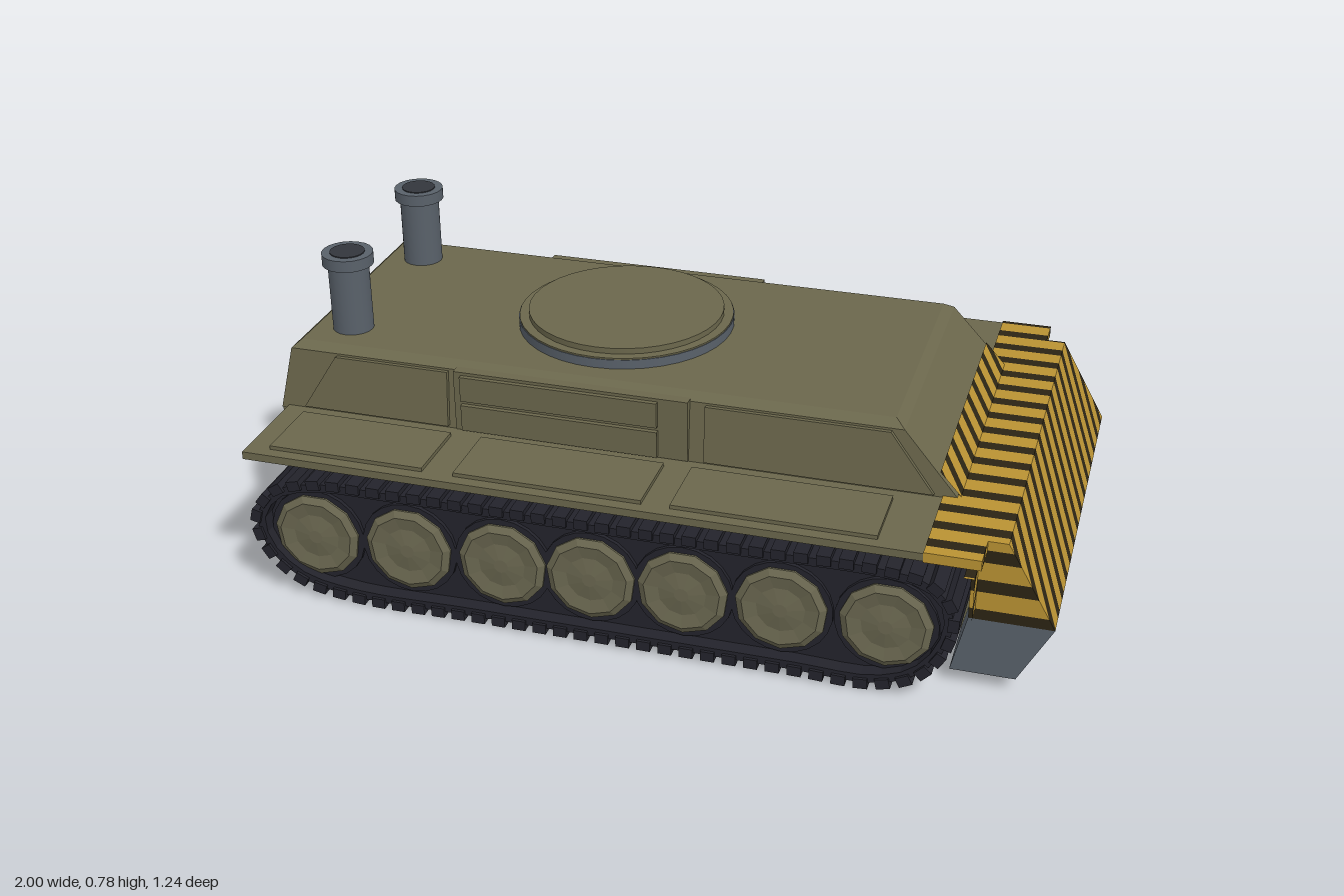
import * as THREE from 'three';
import { mergeGeometries } from 'three/addons/utils/BufferGeometryUtils.js';
import { ConvexGeometry } from 'three/addons/geometries/ConvexGeometry.js';

const V = (x, y, z) => new THREE.Vector3(x, y, z);
const V2 = (x, y) => new THREE.Vector2(x, y);

function material(name, color, side = THREE.FrontSide) {
  const m = new THREE.MeshStandardMaterial({ color, side });
  m.name = name;
  return m;
}

// Side profile (x, y) extruded to a given width, centred on z
function extrude(points, width, hole) {
  const shape = new THREE.Shape(points);
  if (hole) shape.holes.push(new THREE.Path(hole));
  const g = new THREE.ExtrudeGeometry(shape, { depth: width, bevelEnabled: false });
  return g.translate(0, 0, -width / 2);
}

// Keep the part of a convex polygon where f >= 0
function clip(poly, f) {
  const out = [];
  poly.forEach((a, i) => {
    const b = poly[(i + 1) % poly.length], fa = f(a), fb = f(b);
    if (fa >= 0) out.push(a);
    if ((fa >= 0) !== (fb >= 0)) out.push(a.clone().lerp(b, fa / (fa - fb)));
  });
  return out;
}

// Cut flat faces into diagonal bands; returns [yellow, dark] geometries
function hazardBands(polys) {
  const pitch = 0.08, dark = 0.033, pos = [[], []];
  for (const poly of polys) {
    for (let k = -10; k < 18; k++) {
      const a = k * pitch, b = a + dark, c = a + pitch;
      [[b, c], [a, b]].forEach(([lo, hi], n) => {
        const p = clip(clip(poly, v => v.y + v.z - lo), v => hi - v.y - v.z);
        for (let i = 1; i + 1 < p.length; i++) {
          for (const v of [p[0], p[i], p[i + 1]]) pos[n].push(v.x, v.y, v.z);
        }
      });
    }
  }
  return pos.map(array => {
    const g = new THREE.BufferGeometry();
    g.setAttribute('position', new THREE.Float32BufferAttribute(array, 3));
    g.computeVertexNormals();
    return g;
  });
}

export function createModel() {
  const model = new THREE.Group();
  model.name = 'trackedVehicle';
  const olive = material('olive paint', 0x6b674c);
  const wheelOlive = material('wheel olive', 0x6a6750);
  const steel = material('grey steel', 0x59616a);
  const rubber = material('track black', 0x23232b);
  const soot = material('soot', 0x33363c);
  const yellow = material('hazard yellow', 0xb99233, THREE.DoubleSide);
  const black = material('hazard dark', 0x2b2414, THREE.DoubleSide);

  const add = (name, geometry, mat, x = 0, y = 0, z = 0) => {
    const mesh = new THREE.Mesh(geometry, mat);
    mesh.name = name;
    mesh.position.set(x, y, z);
    model.add(mesh);
    return mesh;
  };
  const box = (name, mat, x0, x1, y0, y1, z0, z1) =>
    add(name, new THREE.BoxGeometry(x1 - x0, y1 - y0, Math.abs(z1 - z0)), mat,
      (x0 + x1) / 2, (y0 + y1) / 2, (z0 + z1) / 2);

  // Lower hull between the tracks
  box('lowerHull', olive, -1, 0.8, 0.04, 0.395, -0.36, 0.36);

  // Upper hull with sloped ends and bevelled roof edge
  const rings = [[0.39, -1, 0.745, 0.365], [0.555, -0.965, 0.6, 0.35], [0.572, -0.945, 0.575, 0.325]];
  const corners = [];
  for (const [y, x0, x1, z] of rings) {
    for (const s of [-1, 1]) corners.push(V(x0, y, s * z), V(x1, y, s * z));
  }
  add('upperHull', new ConvexGeometry(corners), olive);

  // Round roof hatch
  const cyl = (r, h, n = 40) => new THREE.CylinderGeometry(r, r, h, n);
  add('hatchRing', cyl(0.276, 0.026), steel, -0.19, 0.583, 0);
  add('hatchRim', cyl(0.274, 0.006), olive, -0.19, 0.597, 0);
  add('hatchLid', cyl(0.25, 0.03), olive, -0.19, 0.6, 0);

  // Track path around the wheels
  const path = new THREE.CatmullRomCurve3([
    [-0.8, 0.33], [-0.91, 0.295], [-0.965, 0.21], [-0.94, 0.12], [-0.86, 0.05], [-0.72, 0.02],
    [-0.4, 0.02], [0, 0.02], [0.4, 0.02], [0.6, 0.02], [0.7, 0.06], [0.765, 0.15],
    [0.775, 0.25], [0.72, 0.315], [0.62, 0.335], [0.3, 0.335], [-0.2, 0.335], [-0.6, 0.335],
  ].map(([x, y]) => V(x, y, 0)), true, 'centripetal');
  const count = 72;
  const outer = [], inner = [], treads = [];
  for (let i = 0; i < count; i++) {
    const p = path.getPointAt(i / count), t = path.getTangentAt(i / count);
    outer.push(V2(p.x, p.y));
    inner.push(V2(p.x - t.y * 0.022, p.y + t.x * 0.022));
    const link = new THREE.BoxGeometry(0.034, 0.026, 0.22);
    link.rotateZ(Math.atan2(t.y, t.x)).translate(p.x, p.y, 0);
    treads.push(link);
  }
  const bandGeo = extrude(outer, 0.205, inner);
  const treadGeo = mergeGeometries(treads);
  const coreGeo = extrude(inner, 0.13);

  // Dished road wheel, the same on both faces
  const half = [[0.018, 0.09], [0.06, 0.084], [0.095, 0.09], [0.112, 0.08]];
  const wheelProfile = [V2(0, -0.09), ...half.map(([r, h]) => V2(r, -h)),
    ...half.slice().reverse().map(([r, h]) => V2(r, h)), V2(0, 0.09)];
  const wheelGeo = new THREE.LatheGeometry(wheelProfile, 11).rotateX(Math.PI / 2).toNonIndexed();
  wheelGeo.computeVertexNormals();
  const tyreGeo = cyl(0.124, 0.15, 22).rotateX(Math.PI / 2);

  for (const s of [1, -1]) {
    const side = s > 0 ? 'left' : 'right';
    const zc = s * 0.51;
    add(side + 'TrackBand', bandGeo, rubber, 0, 0, zc);
    add(side + 'TrackLinks', treadGeo, rubber, 0, 0, zc);
    add(side + 'TrackCore', coreGeo, rubber, 0, 0, zc);
    for (const x of [-0.815, -0.57, -0.325, -0.1, 0.13, 0.37, 0.62]) {
      add(side + 'Tyre', tyreGeo, rubber, x, 0.17, zc);
      add(side + 'RoadWheel', wheelGeo, wheelOlive, x, 0.17, zc);
    }

    // Fender with its support and raised lids
    box(side + 'Fender', olive, -0.98, 0.83, 0.378, 0.398, s * 0.35, s * 0.62);
    box(side + 'FenderSupport', olive, -0.95, 0.78, 0.35, 0.38, s * 0.35, s * 0.575);
    for (const [x0, x1] of [[-0.92, -0.52], [-0.44, 0.03], [0.1, 0.59]]) {
      box(side + 'FenderLid', olive, x0, x1, 0.396, 0.408, s * 0.405, s * 0.59);
    }

    // Side lockers and sloped side panels
    for (const [y0, y1] of [[0.405, 0.474], [0.486, 0.552]]) {
      box(side + 'Locker', olive, -0.5, 0.005, y0, y1, s * 0.33, s * 0.382);
    }
    box(side + 'LockerFrame', olive, -0.52, 0.08, 0.4, 0.56, s * 0.33, s * 0.37);
    const panels = [
      [V2(-0.93, 0.405), V2(-0.54, 0.405), V2(-0.54, 0.55), V2(-0.84, 0.55)],
      [V2(0.12, 0.405), V2(0.68, 0.405), V2(0.57, 0.55), V2(0.12, 0.55)],
    ];
    for (const p of panels) {
      const g = extrude(p, 0.02).translate(0, -0.478, 0).rotateX(-s * 0.09);
      add(side + 'SidePanel', g, olive, 0, 0.478, s * 0.359);
    }

    // Exhaust stack with collar and dark opening
    const ez = s * 0.225;
    add(side + 'Exhaust', cyl(0.052, 0.2, 20), steel, -0.85, 0.66, ez);
    add(side + 'ExhaustCollar', cyl(0.065, 0.03, 20), steel, -0.85, 0.765, ez);
    add(side + 'ExhaustOpening', cyl(0.044, 0.004, 20), soot, -0.85, 0.7805, ez);
  }

  // Steel lower wedge of the nose
  const w = 0.535;
  add('noseWedge', extrude([V2(0.765, 0.04), V2(0.92, 0.04), V2(1, 0.19), V2(0.8, 0.19)], 2 * w), steel);

  // Hazard-striped upper nose: slope, deck, back and hull front
  const across = (x0, y0, x1, y1, z0 = -w, z1 = w) =>
    [V(x0, y0, z1), V(x0, y0, z0), V(x1, y1, z0), V(x1, y1, z1)];
  const faces = [
    across(1, 0.19, 0.88, 0.402),
    across(0.88, 0.402, 0.7, 0.402),
    across(0.8, 0.402, 0.8, 0.19),
    across(0.744, 0.4, 0.69, 0.46, -0.357, 0.357),
  ];
  for (const s of [1, -1]) {
    const z0 = s * w, z1 = s * 0.622;
    // Nose cheek, fender tip and bracket
    faces.push([V(0.8, 0.19, z0), V(1, 0.19, z0), V(0.88, 0.402, z0), V(0.8, 0.402, z0)]);
    faces.push(across(0.7, 0.402, 0.832, 0.402, z0, z1));
    faces.push(across(0.832, 0.376, 0.832, 0.402, z0, z1));
    faces.push([V(0.7, 0.376, z1), V(0.832, 0.376, z1), V(0.832, 0.402, z1), V(0.7, 0.402, z1)]);
    faces.push(across(0.815, 0.22, 0.815, 0.33, z0, s * 0.59));
    faces.push(across(0.79, 0.33, 0.815, 0.33, z0, s * 0.59));
  }
  const [yellowGeo, darkGeo] = hazardBands(faces);
  add('noseYellowBands', yellowGeo, yellow);
  add('noseDarkBands', darkGeo, black);

  return model;
}
